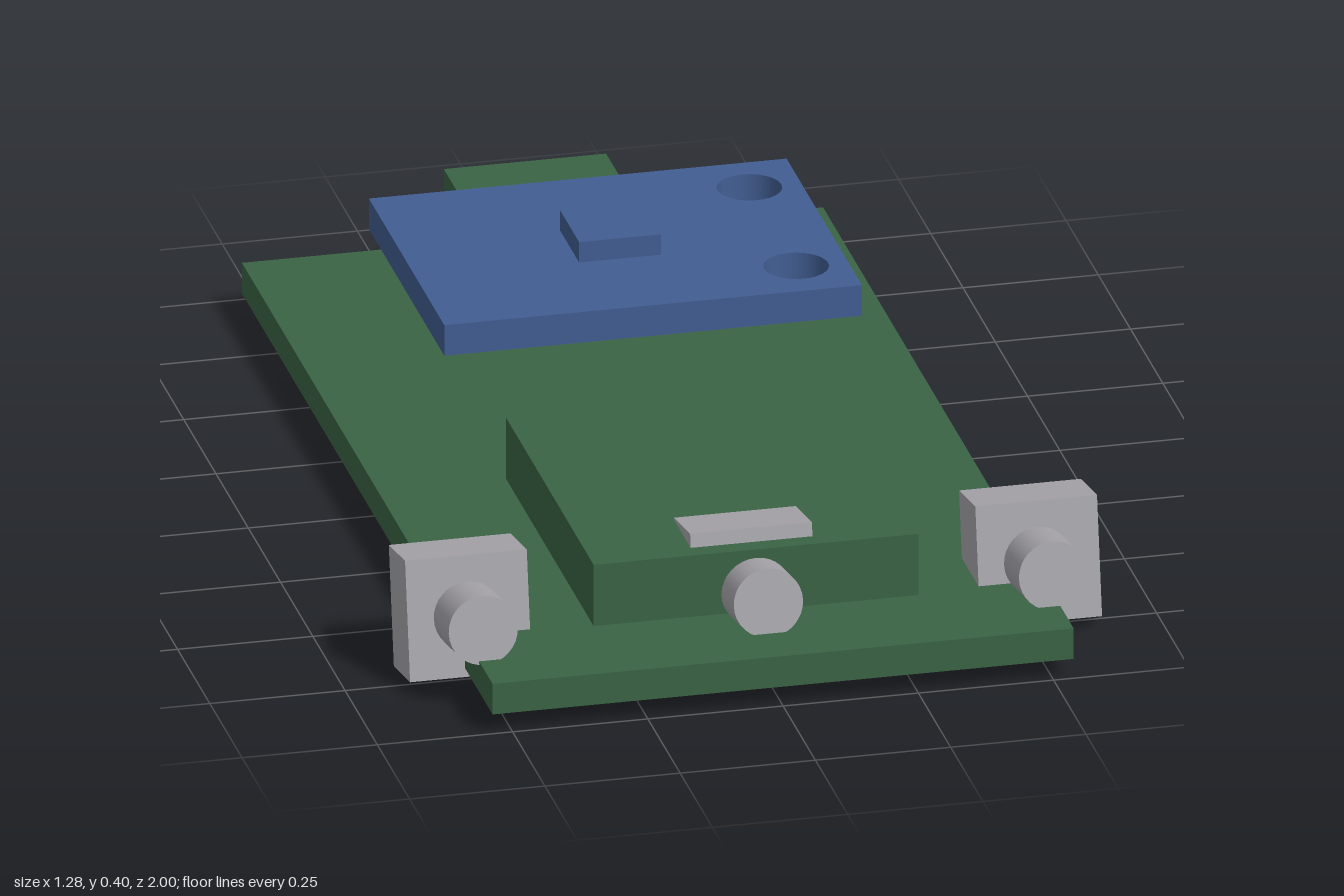
import * as THREE from 'three';

export function createModel() {
  const model = new THREE.Group();
  const mat = (name, color) => {
    const m = new THREE.MeshStandardMaterial({ color });
    m.name = name;
    return m;
  };
  const green = mat('boardGreen', 0x3b6445);
  const blue = mat('moduleBlue', 0x415e92);
  const grey = mat('sensorGrey', 0xa8a6ab);

  const add = (parent, name, geometry, material, x, y, z) => {
    const mesh = new THREE.Mesh(geometry, material);
    mesh.name = name;
    mesh.position.set(x, y, z);
    parent.add(mesh);
    return mesh;
  };
  // Box given by its minimum and maximum corners
  const block = (name, material, [x0, y0, z0], [x1, y1, z1]) =>
    add(model, name, new THREE.BoxGeometry(x1 - x0, y1 - y0, z1 - z0), material,
      (x0 + x1) / 2, (y0 + y1) / 2, (z0 + z1) / 2);

  // Main board with its battery block and rear connector
  block('mainBoard', green, [-0.537, 0.04, -0.942], [0.537, 0.1, 1]);
  block('batteryBlock', green, [-0.3, 0.1, 0.112], [0.3, 0.22, 0.79]);
  block('rearConnector', green, [-0.15, 0.1, -1], [0.15, 0.22, -0.72]);

  // Floating module plate with two mounting holes
  const plate = new THREE.Shape();
  plate.moveTo(-0.387, 0.003);
  plate.lineTo(0.385, 0.003);
  plate.lineTo(0.385, 0.587);
  plate.lineTo(-0.387, 0.587);
  plate.closePath();
  for (const y of [0.115, 0.477]) {
    plate.holes.push(new THREE.Path().absarc(0.29, y, 0.059, 0, Math.PI * 2, true));
  }
  const plateGeometry = new THREE.ExtrudeGeometry(plate,
    { depth: 0.06, bevelEnabled: false, curveSegments: 32 });
  plateGeometry.rotateX(-Math.PI / 2);
  add(model, 'modulePlate', plateGeometry, blue, 0, 0.302, 0);
  block('moduleChip', blue, [-0.086, 0.362, -0.37], [0.065, 0.402, -0.22]);

  // Three range sensors tilted upward, each with a round barrel
  const bodyGeometry = new THREE.BoxGeometry(0.225, 0.225, 0.128);
  const barrelGeometry = new THREE.CylinderGeometry(0.064, 0.064, 0.118, 32);
  barrelGeometry.rotateX(Math.PI / 2);
  [['right', -0.527], ['centre', 0], ['left', 0.527]].forEach(([side, x]) => {
    const sensor = new THREE.Group();
    sensor.name = side + 'Sensor';
    sensor.position.set(x, 0.124, 0.708);
    sensor.rotation.x = -THREE.MathUtils.degToRad(10);
    add(sensor, 'sensorBody', bodyGeometry, grey, 0, 0, 0);
    add(sensor, 'sensorBarrel', barrelGeometry, grey, 0, 0, 0.122);
    model.add(sensor);
  });

  return model;
}
